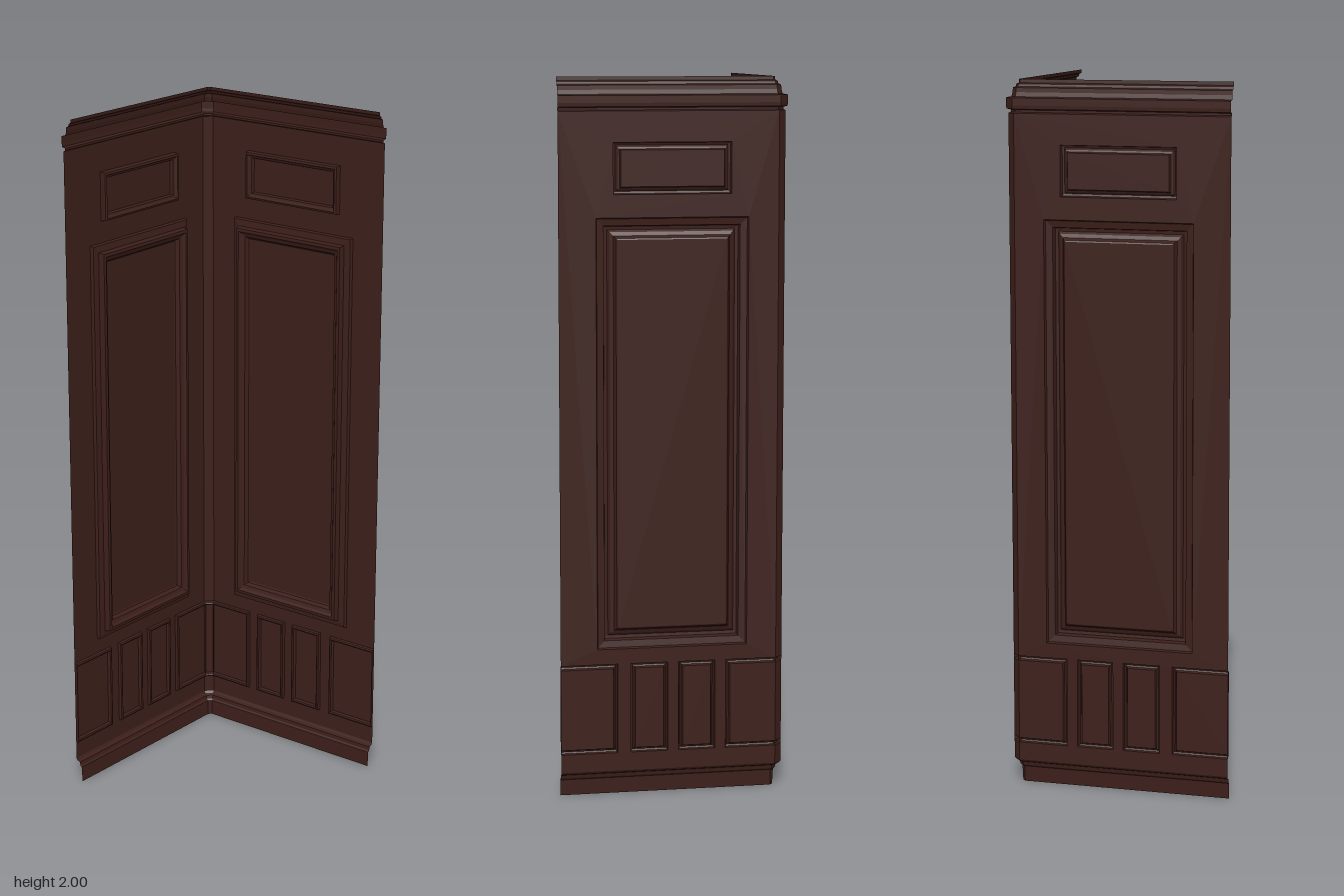
import * as THREE from 'three';

const R = 0.319;      // half width of the corner unit
const CUT = 0.025;    // corner chamfer at the outermost face
const WALL = 0.006;   // depth of the flat wall, measured inward from the outer face
const wood = new THREE.MeshStandardMaterial({ color: 0x3d1f1a, side: THREE.DoubleSide });

// Where a wing meets the chamfer, at inward depth d
const edge = (d) => R - CUT - d * (Math.SQRT2 - 1);

// Skin of flat quads between successive rows of points
function skin(rows) {
  const pos = [];
  for (let i = 0; i < rows.length - 1; i++) {
    for (let j = 0; j < rows[i].length - 1; j++) {
      const a = rows[i][j], b = rows[i][j + 1], c = rows[i + 1][j + 1], d = rows[i + 1][j];
      pos.push(...a, ...b, ...c, ...a, ...c, ...d);
    }
  }
  const g = new THREE.BufferGeometry();
  g.setAttribute('position', new THREE.Float32BufferAttribute(pos, 3));
  g.computeVertexNormals();
  return g;
}

function part(name, geometry, parent) {
  const mesh = new THREE.Mesh(geometry, wood);
  mesh.name = name;
  parent.add(mesh);
}

// Plan path of the two wings and the chamfer at depth d
const path = (y, d) => [
  [-R, y, -R + d], [edge(d), y, -R + d], [R - d, y, -edge(d)], [R - d, y, R],
];

// Profiles as [height, depth]
const base = [[0, 0.028], [0.045, 0.026], [0.05, 0.021], [0.06, 0.019], [0.064, 0.010], [0.07, WALL]];
const cornice = [
  [1.908, WALL], [1.911, 0.012], [1.917, 0.012], [1.92, 0.001], [1.93, 0], [1.95, 0], [1.953, 0.014],
  [1.965, 0.017], [1.977, 0.018], [1.98, 0.025], [1.987, 0.027], [1.99, 0.033], [2, 0.034],
];

// Moulding sections as [inset from the rim, depth]
const bead = [[0, WALL], [0.002, 0.014], [0.006, 0.016], [0.01, 0.014], [0.013, WALL]];
const smallFrame = [[0, WALL], [0.002, 0.022], [0.008, 0.024], [0.013, 0.017], [0.018, 0.015], [0.021, WALL]];
const largeFrame = [
  [0, WALL], [0.003, 0.015], [0.022, 0.018], [0.025, 0.035], [0.034, 0.036],
  [0.04, 0.028], [0.05, 0.024], [0.056, 0.012], [0.06, 0.010],
];

// Rectangular moulding with its field; x0 or x1 left null runs out to the end of the wing
function panel(name, x0, x1, y0, y1, section, parent) {
  const rows = section.map(([i, d]) => {
    const l = x0 === null ? -R : x0 + i, r = x1 === null ? edge(d) : x1 - i;
    const z = -R + d, b = y0 + i, t = y1 - i;
    return [[l, b, z], [r, b, z], [r, t, z], [l, t, z], [l, b, z]];
  });
  const [a, b, c, d] = rows[rows.length - 1];
  const g = new THREE.Group();
  g.name = name;
  part('moulding', skin(rows), g);
  part('field', skin([[a, b], [d, c]]), g);
  parent.add(g);
}

const LOW = 0.122, HIGH = 0.377;

function wing(name) {
  const g = new THREE.Group();
  g.name = name;
  const e = edge(WALL), endL = -0.158, endR = 0.148;

  // Wall sheet, notched for the end panels and pierced for the others
  const shape = new THREE.Shape([
    [-R, 0.07], [e, 0.07], [e, LOW], [endR, LOW], [endR, HIGH], [e, HIGH], [e, 1.908],
    [-R, 1.908], [-R, HIGH], [endL, HIGH], [endL, LOW], [-R, LOW],
  ].map(([x, y]) => new THREE.Vector2(x, y)));
  const panels = [
    ['largePanel', -0.216, 0.208, 0.42, 1.62, largeFrame],
    ['upperPanel', -0.168, 0.16, 1.683, 1.824, smallFrame],
    ['lowerPanel', -0.122, -0.016, LOW, HIGH, bead],
    ['lowerPanel', 0.014, 0.118, LOW, HIGH, bead],
  ];
  for (const [label, x0, x1, y0, y1, section] of panels) {
    shape.holes.push(new THREE.Path([
      new THREE.Vector2(x0, y0), new THREE.Vector2(x0, y1),
      new THREE.Vector2(x1, y1), new THREE.Vector2(x1, y0),
    ]));
    panel(label, x0, x1, y0, y1, section, g);
  }
  part('wall', new THREE.ShapeGeometry(shape).translate(0, 0, -R + WALL), g);
  panel('outerEndPanel', null, endL, LOW, HIGH, bead, g);
  panel('cornerEndPanel', endR, null, LOW, HIGH, bead, g);
  return g;
}

export function createModel() {
  const model = new THREE.Group();
  model.name = 'panelledCorner';

  model.add(wing('backWing'));

  // Side wing mirrors the back wing across the corner diagonal
  const side = wing('sideWing');
  side.scale.x = -1;
  side.rotation.y = -Math.PI / 2;
  model.add(side);

  // Base and cornice run round the corner
  part('baseboard', skin(base.map(([y, d]) => path(y, d))), model);
  part('cornice', skin(cornice.map(([y, d]) => path(y, d))), model);

  // Chamfered corner strip carrying the panel beads across
  const strip = [
    [0.07, WALL],
    ...bead.map(([i, d]) => [LOW + i, d]),
    ...bead.map(([i, d]) => [HIGH - i, d]).reverse(),
    [1.908, WALL],
  ];
  part('cornerStrip', skin(strip.map(([y, d]) => path(y, d).slice(1, 3))), model);

  return model;
}
